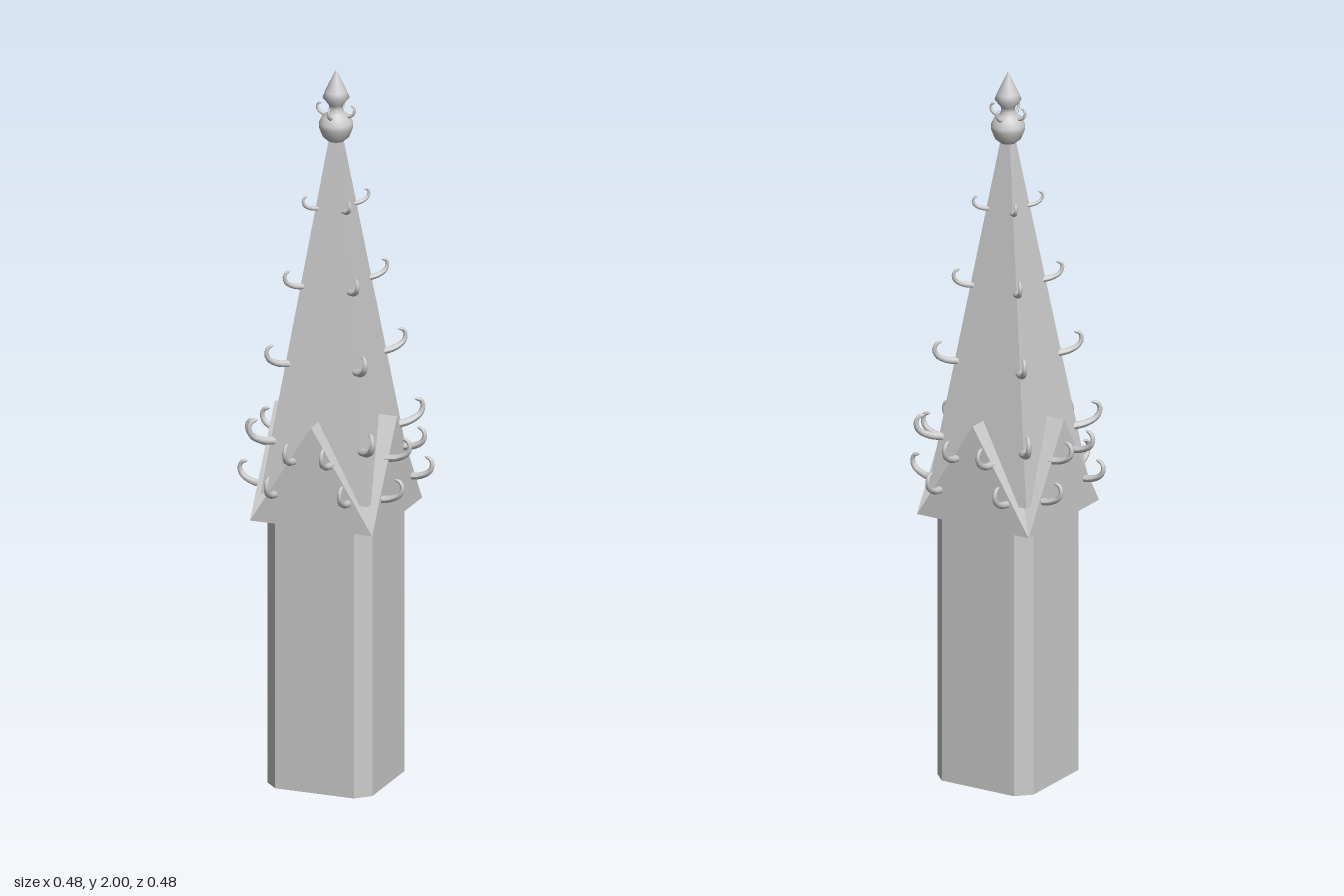
import * as THREE from 'three';

const SPIRE = { y0: 0.83, y1: 1.81, half0: 0.155, half1: 0.014 };

function spireHalf(y) {
  const t = (y - SPIRE.y0) / (SPIRE.y1 - SPIRE.y0);
  return SPIRE.half0 + (SPIRE.half1 - SPIRE.half0) * t;
}

// Tapered hook curling out along +x and up along +y
function hookGeometry(size) {
  const path = new THREE.CatmullRomCurve3([
    [-0.2, -0.02], [0.35, 0.06], [0.8, 0.3], [0.93, 0.62], [0.82, 0.88], [0.55, 0.95],
  ].map(([x, y]) => new THREE.Vector3(x * size, y * size, 0)));
  const rings = 14, sides = 8;
  const geo = new THREE.TubeGeometry(path, rings, size * 0.18, sides, false);
  const pos = geo.attributes.position;
  const p = new THREE.Vector3();
  for (let i = 0; i <= rings; i++) {
    const centre = path.getPointAt(i / rings);
    const scale = i === rings ? 0.02 : 1 - 0.6 * (i / rings);
    for (let j = 0; j <= sides; j++) {
      const k = i * (sides + 1) + j;
      p.fromBufferAttribute(pos, k).sub(centre).multiplyScalar(scale).add(centre);
      pos.setXYZ(k, p.x, p.y, p.z);
    }
  }
  geo.computeVertexNormals();
  return geo;
}

export function createModel() {
  const root = new THREE.Group();
  const flat = new THREE.MeshStandardMaterial({ color: 0xcccccc, flatShading: true });
  const smooth = new THREE.MeshStandardMaterial({ color: 0xcccccc, side: THREE.DoubleSide });

  const add = (name, geo, mat, parent = root) => {
    const mesh = new THREE.Mesh(geo, mat);
    mesh.name = name;
    parent.add(mesh);
    return mesh;
  };

  // Square shaft with chamfered corners
  const a = 0.152, b = 0.114;
  const section = new THREE.Shape([
    [a, -b], [a, b], [b, a], [-b, a], [-a, b], [-a, -b], [-b, -a], [b, -a],
  ].map(([x, y]) => new THREE.Vector2(x, y)));
  const shaft = new THREE.ExtrudeGeometry(section, { depth: 0.757, bevelEnabled: false });
  add('shaft', shaft.rotateX(-Math.PI / 2), flat);

  // Two crossing gabled roofs
  const g = 0.177;
  const triangle = new THREE.Shape([
    new THREE.Vector2(-g, 0.757), new THREE.Vector2(g, 0.757), new THREE.Vector2(0, 1.042),
  ]);
  const gable = new THREE.ExtrudeGeometry(triangle, { depth: 2 * g, bevelEnabled: false });
  gable.translate(0, 0, -g);
  add('gableFrontBack', gable, flat);
  add('gableLeftRight', gable, flat).rotation.y = Math.PI / 2;

  // Four-sided spire
  const height = SPIRE.y1 - SPIRE.y0;
  const spire = new THREE.CylinderGeometry(
    SPIRE.half1 * Math.SQRT2, SPIRE.half0 * Math.SQRT2, height, 4);
  spire.rotateY(Math.PI / 4).translate(0, SPIRE.y0 + height / 2, 0);
  add('spire', spire, flat);

  // Finial: bulb, neck and pointed bud
  const profile = [
    [0, 1.8], [0.022, 1.8], [0.036, 1.812], [0.046, 1.838], [0.046, 1.85],
    [0.038, 1.868], [0.024, 1.878], [0.018, 1.89], [0.02, 1.902], [0.036, 1.922],
    [0.03, 1.938], [0.015, 1.97], [0, 2],
  ].map(([x, y]) => new THREE.Vector2(x, y));
  add('finial', new THREE.LatheGeometry(profile, 24), smooth);

  // Crockets on the gables, the spire edges and the finial
  const gableHook = hookGeometry(0.063);
  const spireHooks = [[0.975, 0.068], [1.187, 0.06], [1.4, 0.05], [1.615, 0.039]]
    .map(([y, size]) => ({ y, geo: hookGeometry(size) }));
  const finialHook = hookGeometry(0.036);

  for (let side = 0; side < 4; side++) {
    const face = new THREE.Group();
    face.name = 'gableCrockets';
    face.rotation.y = side * Math.PI / 2;
    root.add(face);
    for (const s of [-1, 1]) {
      add('gableCrocket', gableHook, smooth, face).position.set(g, 0.94, s * 0.053);
      add('gableCrocket', gableHook, smooth, face).position.set(g, 0.84, s * 0.106);
    }
    add('finialCrocket', finialHook, smooth, face).position.set(0.021, 1.868, 0);

    const edge = new THREE.Group();
    edge.name = 'spireCrockets';
    edge.rotation.y = Math.PI / 4 + side * Math.PI / 2;
    root.add(edge);
    for (const { y, geo } of spireHooks) {
      add('spireCrocket', geo, smooth, edge).position.set(spireHalf(y) * Math.SQRT2, y, 0);
    }
  }
  return root;
}
